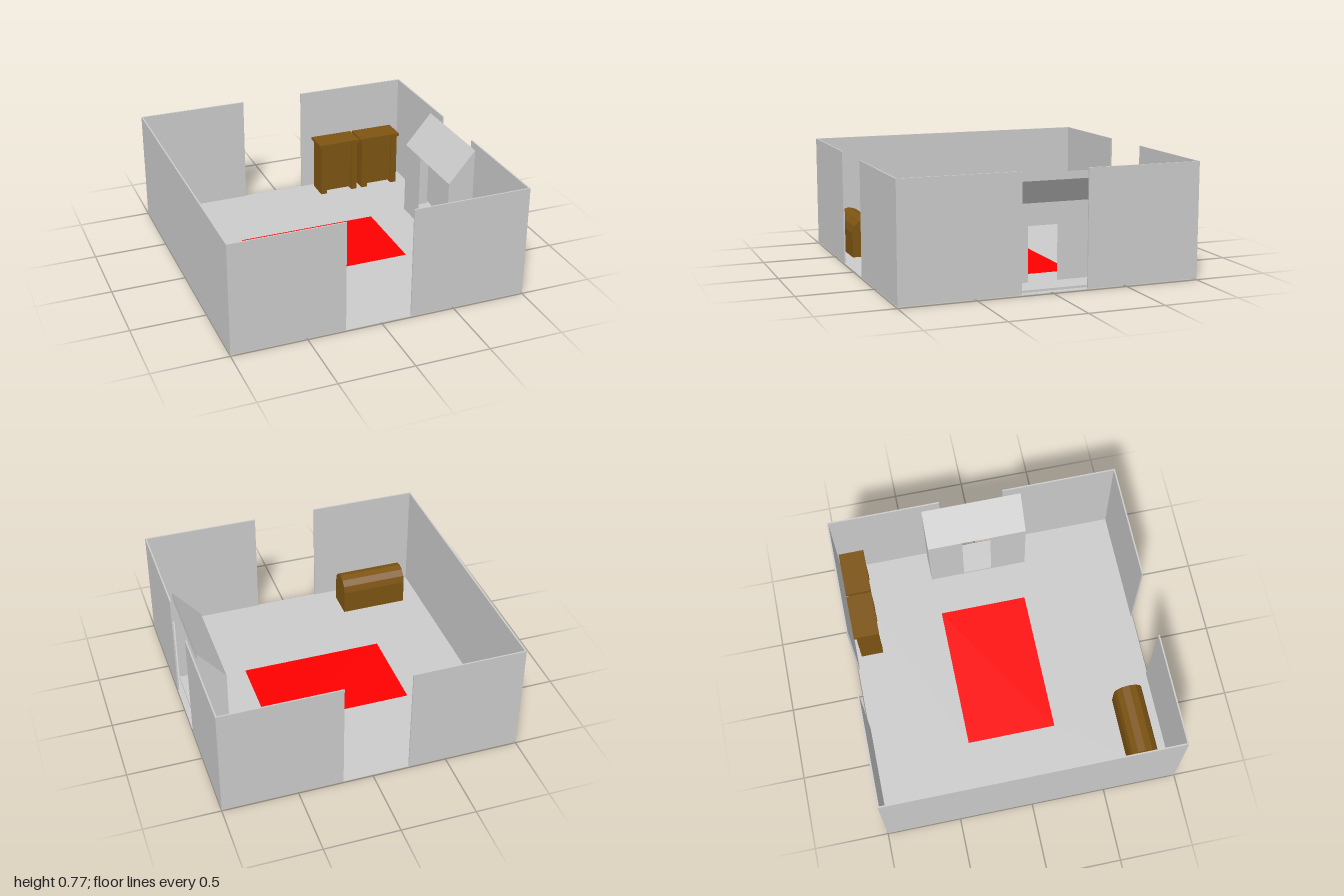
import * as THREE from 'three';

const grey = new THREE.MeshStandardMaterial({ color: 0xcccccc, side: THREE.DoubleSide });
const brown = new THREE.MeshStandardMaterial({ color: 0x7d5412, flatShading: true });
const red = new THREE.MeshStandardMaterial({ color: 0xff0000, side: THREE.DoubleSide });

const FLOOR = 0.01, TOP = 0.77, WALL = 0.01;

function add(parent, name, geometry, material) {
  const mesh = new THREE.Mesh(geometry, material);
  mesh.name = name;
  parent.add(mesh);
  return mesh;
}

// Box given by its extents on each axis
function box(parent, name, material, [x0, x1], [y0, y1], [z0, z1]) {
  const mesh = add(parent, name, new THREE.BoxGeometry(x1 - x0, y1 - y0, z1 - z0), material);
  mesh.position.set((x0 + x1) / 2, (y0 + y1) / 2, (z0 + z1) / 2);
  return mesh;
}

const polygon = (points) => new THREE.Shape(points.map(([x, y]) => new THREE.Vector2(x, y)));
const rect = (x0, x1, y0, y1) => polygon([[x0, y0], [x1, y0], [x1, y1], [x0, y1]]);

// Flat floor with the rug let into it (shape y becomes -z)
function buildFloor(room) {
  const shape = rect(-1, 1, -1, 1);
  shape.holes.push(rect(-0.49, 0.5, -0.27, 0.34));
  const parts = [['floor', shape, grey], ['rug', rect(-0.49, 0.5, -0.27, 0.34), red]];
  for (const [name, s, material] of parts) {
    const mesh = add(room, name, new THREE.ShapeGeometry(s), material);
    mesh.rotation.x = -Math.PI / 2;
    mesh.position.y = FLOOR;
  }
}

// Four walls; three of them are split by a full-height gap
function buildWalls(room) {
  const h = [FLOOR, TOP];
  for (const [name, z] of [['frontWall', [1 - WALL, 1]], ['backWall', [-1, -1 + WALL]]]) {
    box(room, name + 'Right', grey, [-1, -0.245], h, z);
    box(room, name + 'Left', grey, [0.2, 1], h, z);
  }
  const inner = 1 - WALL;
  box(room, 'rightWall', grey, [-1, -inner], h, [-inner, inner]);
  box(room, 'leftWallFront', grey, [inner, 1], h, [0.21, inner]);
  box(room, 'leftWallBack', grey, [inner, 1], h, [-inner, -0.23]);
}

// Hollow fireplace with an open back and a sloping hood
function buildFireplace(room) {
  const fireplace = new THREE.Group();
  fireplace.name = 'fireplace';
  room.add(fireplace);
  const x0 = 0.775, x1 = 0.96, z0 = -0.36, z1 = 0.33, base = 0.025, eave = 0.53, ridge = 0.75;

  box(fireplace, 'hearth', grey, [x0, x1], [0.004, base], [z0, z1]);

  const side = polygon([[x0, base], [x1, base], [x1, ridge], [x0, eave]]);
  for (const z of [z0, z1]) {
    add(fireplace, 'fireplaceSide', new THREE.ShapeGeometry(side), grey).position.z = z;
  }

  // Upright panels: front pieces beside the opening and the header at the back
  const panels = [
    ['frontPanel', x0, z0, -0.12, base, eave],
    ['frontPanel', x0, 0.08, z1, base, eave],
    ['backHeader', x1, z0, z1, 0.7, ridge],
  ];
  for (const [name, x, a, b, y0, y1] of panels) {
    const mesh = add(fireplace, name, new THREE.PlaneGeometry(b - a, y1 - y0), grey);
    mesh.rotation.y = -Math.PI / 2;
    mesh.position.set(x, (y0 + y1) / 2, (a + b) / 2);
  }

  const hood = new THREE.PlaneGeometry(Math.hypot(x1 - x0, ridge - eave), z1 - z0);
  hood.rotateX(-Math.PI / 2);
  hood.rotateZ(Math.atan2(ridge - eave, x1 - x0));
  add(fireplace, 'hood', hood, grey)
    .position.set((x0 + x1) / 2, (eave + ridge) / 2, (z0 + z1) / 2);
}

// Cabinet with an overhanging top and two panel legs
function buildCabinet(room, x0, x1) {
  const cabinet = new THREE.Group();
  cabinet.name = 'cabinet';
  room.add(cabinet);
  const a = x0 + 0.012, b = x1 - 0.014, leg = 0.045;
  box(cabinet, 'cabinetTop', brown, [x0, x1], [0.395, 0.415], [-0.975, -0.8]);
  box(cabinet, 'cabinetLeg', brown, [a, a + leg], [0, 0.395], [-0.96, -0.805]);
  box(cabinet, 'cabinetLeg', brown, [b - leg, b], [0, 0.395], [-0.96, -0.805]);
  box(cabinet, 'cabinetBody', brown, [a + leg, b - leg], [0.03, 0.395], [-0.96, -0.82]);
}

// Chest with a faceted barrel lid, extruded along x
function buildChest(room) {
  const x0 = -0.86, x1 = -0.39, zMid = 0.805, r = 0.097, sideTop = 0.18, sides = 6;
  const points = [[-r, FLOOR], [r, FLOOR]];
  for (let i = 0; i <= sides; i++) {
    const t = (Math.PI * i) / sides;
    points.push([r * Math.cos(t), sideTop + r * Math.sin(t)]);
  }
  const geometry = new THREE.ExtrudeGeometry(polygon(points), { depth: x1 - x0, bevelEnabled: false });
  geometry.rotateY(Math.PI / 2);
  add(room, 'chest', geometry, brown).position.set(x0, 0, zMid);
}

export function createModel() {
  const room = new THREE.Group();
  room.name = 'room';
  buildFloor(room);
  buildWalls(room);
  buildFireplace(room);
  buildCabinet(room, 0.28, 0.595);
  buildCabinet(room, 0.608, 0.92);
  buildChest(room);
  return room;
}
